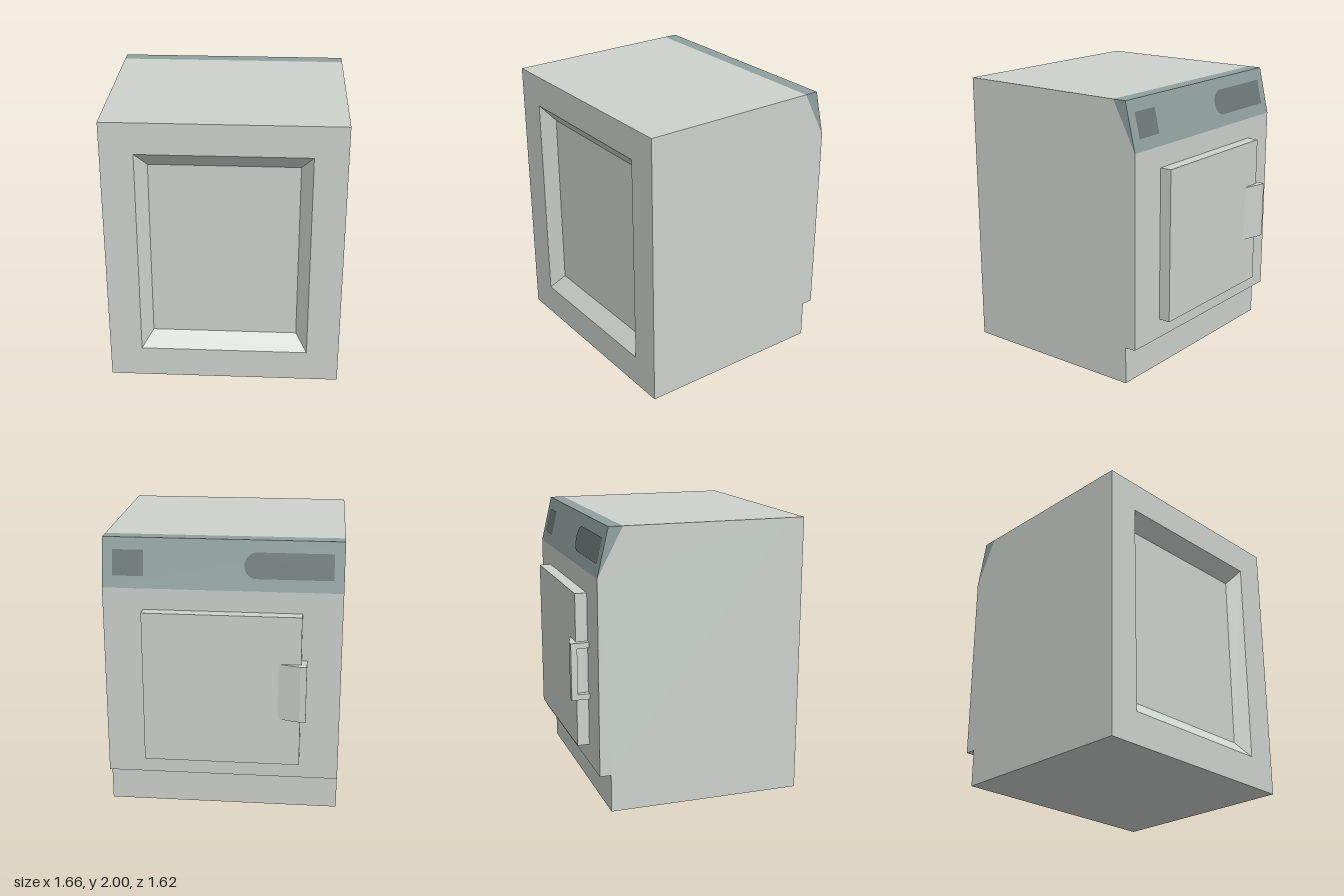
import * as THREE from 'three';

const paint = (color) => new THREE.MeshStandardMaterial({ color, flatShading: true });

function polygon(points) {
  return new THREE.Shape(points.map(([x, y]) => new THREE.Vector2(x, y)));
}

// Profile given as [z, y], swept across the full width
function sweepAcross(points, width) {
  return new THREE.ExtrudeGeometry(polygon(points.map(([z, y]) => [-z, y])), { depth: width, bevelEnabled: false })
    .translate(0, 0, -width / 2)
    .rotateY(Math.PI / 2);
}

// Plan given as [x, z], raised from y0 to y1
function raise(points, y0, y1) {
  return new THREE.ExtrudeGeometry(polygon(points.map(([x, z]) => [x, -z])), { depth: y1 - y0, bevelEnabled: false })
    .rotateX(-Math.PI / 2)
    .translate(0, y0, 0);
}

export function createModel() {
  const model = new THREE.Group();
  const bodyPaint = paint(0xccd2cd);
  const panelPaint = paint(0x90a0a0);
  const insertPaint = paint(0x6c7878);
  const add = (parent, name, geometry, material) => {
    const mesh = new THREE.Mesh(geometry, material);
    mesh.name = name;
    parent.add(mesh);
    return mesh;
  };

  const W = 1.66, front = 0.805, floor = 0.715;

  // Cabinet with a stepped-in plinth
  add(model, 'cabinet', sweepAcross([
    [floor, 0], [floor, 2], [-0.5, 2], [-0.68, 1.66], [-0.68, 0.27], [-0.6, 0.27], [-0.6, 0],
  ], W), bodyPaint);

  // Frame around the recess; the opening tapers towards its floor
  const frameShape = polygon([[-W / 2, 0], [W / 2, 0], [W / 2, 2], [-W / 2, 2]]);
  frameShape.holes.push(polygon([[-0.6, 0.23], [-0.6, 1.775], [0.6, 1.775], [0.6, 0.23]]));
  const frame = new THREE.ExtrudeGeometry(frameShape, { depth: front - floor, bevelEnabled: false });
  const p = frame.attributes.position;
  for (let i = 0; i < p.count; i++) {
    if (p.getZ(i) < 0.01 && Math.abs(p.getX(i)) < 0.7) {
      p.setX(i, Math.sign(p.getX(i)) * 0.52);
      p.setY(i, p.getY(i) > 1 ? 1.665 : 0.34);
    }
  }
  frame.translate(0, 0, floor);
  frame.computeVertexNormals();
  add(model, 'recessFrame', frame, bodyPaint);

  // Sloping control panel
  add(model, 'controlPanel', sweepAcross([[-0.5, 2], [-0.6, 2], [-0.68, 1.66]], W), panelPaint);

  // Dark inserts lying on the slope
  const inserts = new THREE.Group();
  inserts.name = 'panelInserts';
  inserts.position.set(0, 1.83, -0.64);
  inserts.rotation.set(-Math.atan2(0.08, 0.34), Math.PI, 0, 'YXZ');
  model.add(inserts);
  const h = 0.09;
  const display = new THREE.Shape();
  display.moveTo(0.76, -h);
  display.lineTo(0.76, h);
  display.lineTo(0.15 + h, h);
  display.absarc(0.15 + h, 0, h, Math.PI / 2, Math.PI * 1.5, false);
  const button = polygon([[-0.76, -h], [-0.545, -h], [-0.545, h], [-0.76, h]]);
  for (const [name, shape] of [['displayInsert', display], ['squareInsert', button]]) {
    add(inserts, name, new THREE.ShapeGeometry(shape, 16), insertPaint).position.z = 0.003;
  }

  // Door
  add(model, 'door', new THREE.BoxGeometry(1.105, 1.1, 0.085).translate(-0.0025, 0.96, -0.7225), bodyPaint);

  // Handle: wedge-shaped grip with a lug at each end wrapping the door edge
  const handle = new THREE.Group();
  handle.name = 'handle';
  model.add(handle);
  add(handle, 'grip', raise([[-0.595, -0.765], [-0.4, -0.765], [-0.55, -0.81], [-0.595, -0.81]], 0.76, 1.17), bodyPaint);
  for (const y of [0.76, 1.13]) {
    add(handle, 'lug', raise([[-0.595, -0.68], [-0.555, -0.68], [-0.555, -0.765], [-0.595, -0.765]], y, y + 0.04), bodyPaint);
  }

  return model;
}
